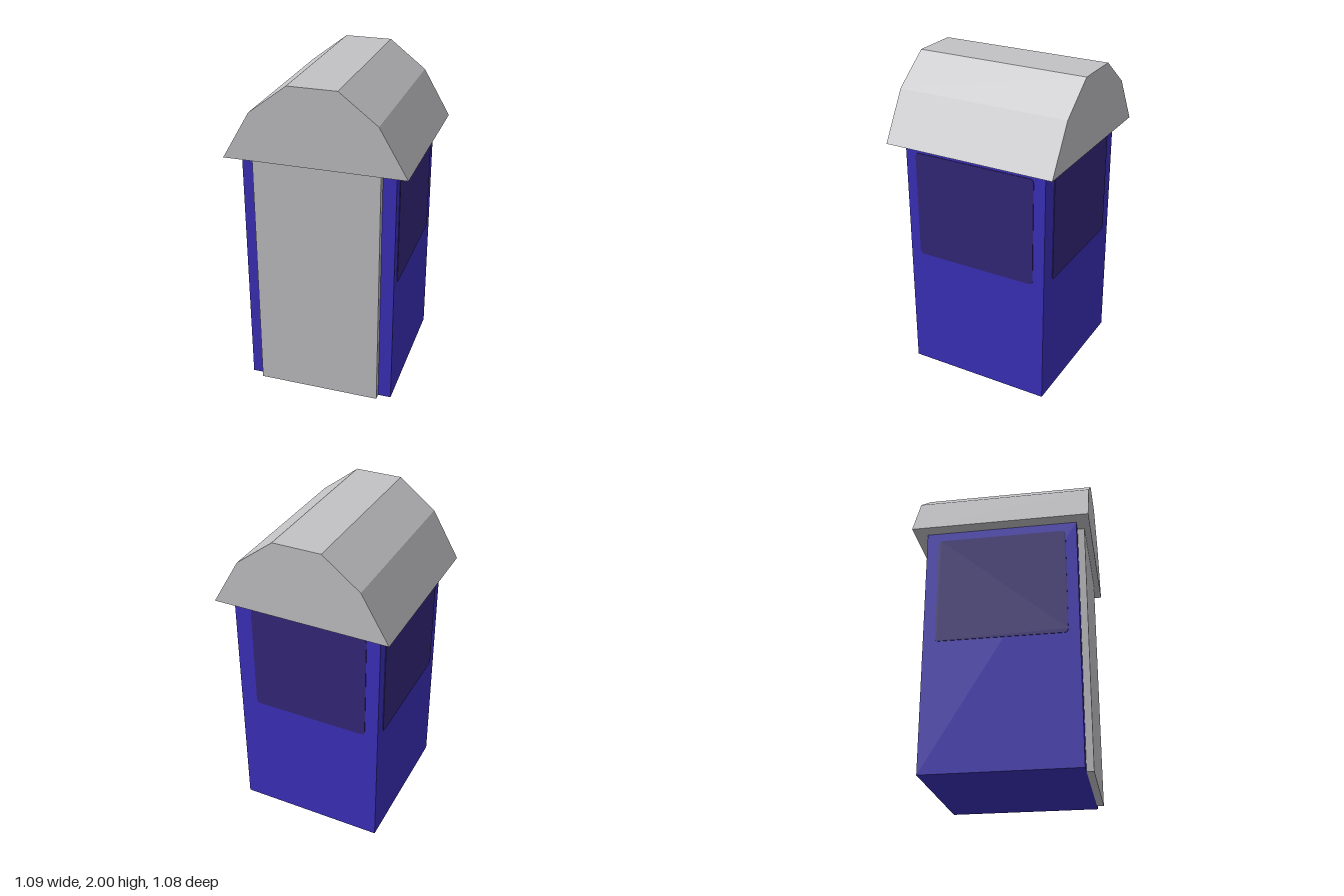
import * as THREE from 'three';

const grey = new THREE.MeshStandardMaterial({ name: 'lightGrey', color: 0xc2c2c5 });
const blue = new THREE.MeshStandardMaterial({ name: 'deepBlue', color: 0x3c30bc });
const glass = new THREE.MeshStandardMaterial({ name: 'darkGlass', color: 0x33277a });

const HALF = 0.463; // half width of the square cabin
const WALL = 1.535; // wall height

function add(parent, name, geometry, material) {
  const mesh = new THREE.Mesh(geometry, material);
  mesh.name = name;
  parent.add(mesh);
  return mesh;
}

// Thin rounded plate centred on its own origin, facing +z
function windowGeometry(w, h, r = 0.025) {
  const x = w / 2, y = h / 2;
  const s = new THREE.Shape();
  s.moveTo(-x + r, -y);
  s.lineTo(x - r, -y);
  s.quadraticCurveTo(x, -y, x, -y + r);
  s.lineTo(x, y - r);
  s.quadraticCurveTo(x, y, x - r, y);
  s.lineTo(-x + r, y);
  s.quadraticCurveTo(-x, y, -x, y - r);
  s.lineTo(-x, -y + r);
  s.quadraticCurveTo(-x, -y, -x + r, -y);
  return new THREE.ExtrudeGeometry(s, { depth: 0.004, bevelEnabled: false, curveSegments: 5 });
}

export function createModel() {
  const booth = new THREE.Group();
  booth.name = 'booth';

  // Cabin
  const cabin = add(booth, 'cabin', new THREE.BoxGeometry(2 * HALF, WALL, 2 * HALF), blue);
  cabin.position.y = WALL / 2;

  // Door panel standing proud of the front wall
  const door = add(booth, 'door', new THREE.BoxGeometry(0.764, WALL, 0.042), grey);
  door.position.set(0, WALL / 2, HALF + 0.021);

  // Side windows, mirrored
  for (const side of [1, -1]) {
    const pane = add(booth, side > 0 ? 'leftWindow' : 'rightWindow', windowGeometry(0.785, 0.68), glass);
    pane.position.set(side * HALF, 1.14, 0.003);
    pane.rotation.y = side * Math.PI / 2;
  }

  // Rear window, slightly off centre
  const rear = add(booth, 'rearWindow', windowGeometry(0.735, 0.68), glass);
  rear.position.set(-0.012, 1.14, -HALF);
  rear.rotation.y = Math.PI;

  // Five-sided barn roof with overhanging eaves
  const half = [[0.545, WALL], [0.375, 1.825], [0.147, 2]];
  const outline = [...half, ...half.map(([x, y]) => [-x, y]).reverse()];
  const profile = new THREE.Shape(outline.map(([x, y]) => new THREE.Vector2(x, y)));
  const roof = new THREE.ExtrudeGeometry(profile, { depth: 1.084, bevelEnabled: false });
  roof.translate(0, 0, -0.542);
  add(booth, 'roof', roof, grey);

  return booth;
}
